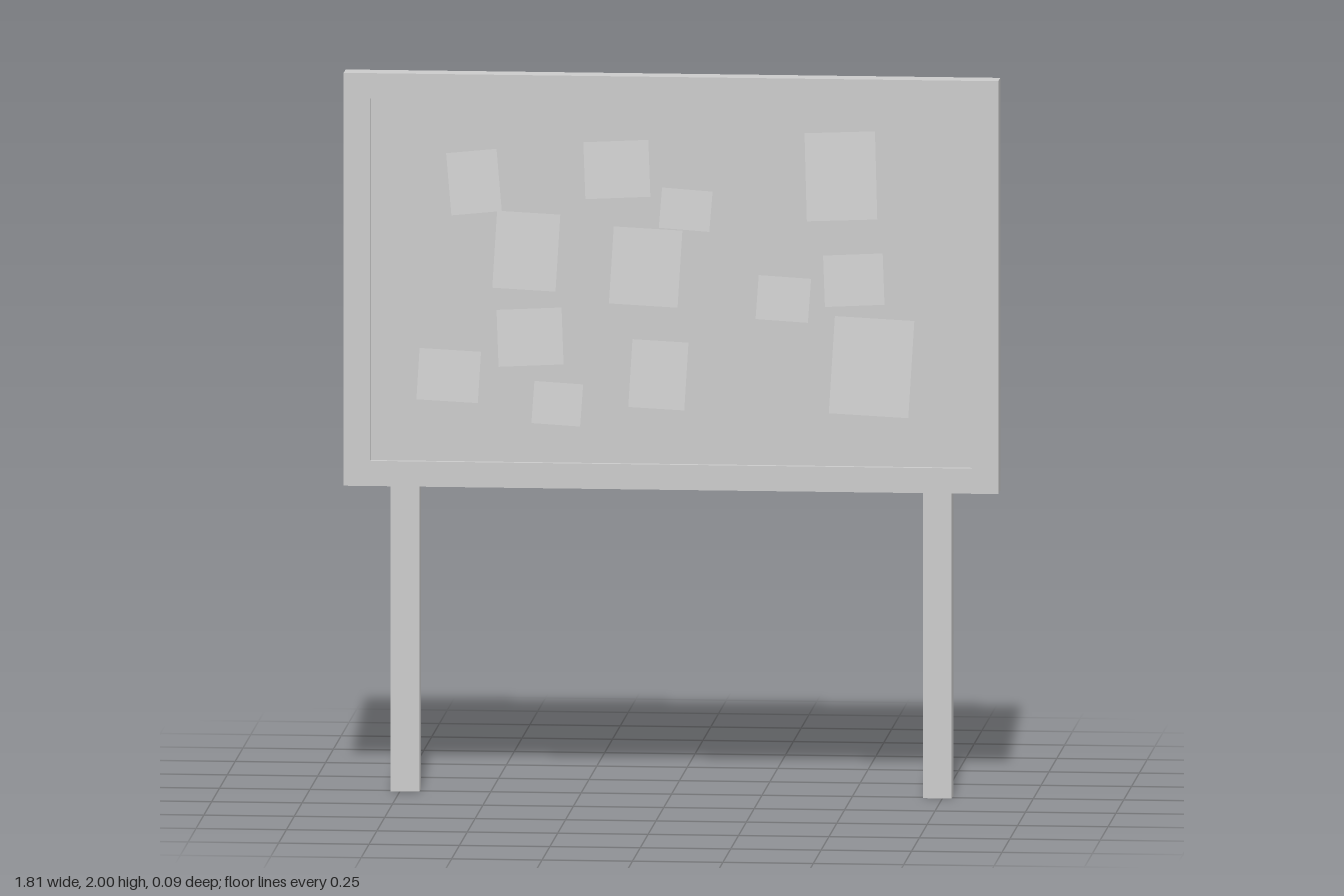
import * as THREE from 'three';

const FLOOR = 0.002; // z of the recessed board surface
const FRONT = 0.018; // z of the frame's front face
const BACK = -0.045;
const CY = 1.425, W = 1.81, H = 1.15;

export function createModel() {
  const group = new THREE.Group();
  const material = new THREE.MeshStandardMaterial({ color: 0xcccccc, flatShading: true });
  const paperMaterial = material.clone();
  paperMaterial.side = THREE.DoubleSide;

  const add = (geometry, name, x, y, z, mat = material) => {
    const mesh = new THREE.Mesh(geometry, mat);
    mesh.name = name;
    mesh.position.set(x, y, z);
    group.add(mesh);
    return mesh;
  };

  // Backing panel
  add(new THREE.BoxGeometry(W, H, FLOOR - BACK), 'boardPanel', 0, CY, (FLOOR + BACK) / 2);

  // Raised frame around the recessed surface
  const rectangle = (path, w, h) => path
    .moveTo(-w / 2, -h / 2).lineTo(w / 2, -h / 2).lineTo(w / 2, h / 2).lineTo(-w / 2, h / 2).closePath();
  const outline = new THREE.Shape();
  rectangle(outline, W, H);
  const opening = new THREE.Path();
  rectangle(opening, 1.665, 1.01);
  outline.holes.push(opening);
  add(new THREE.ExtrudeGeometry(outline, { depth: FRONT - FLOOR, bevelEnabled: false }), 'boardFrame', 0, CY, FLOOR);

  // Two square posts
  for (const side of [-1, 1]) {
    add(new THREE.BoxGeometry(0.08, 0.85, 0.056), side > 0 ? 'leftLeg' : 'rightLeg', side * 0.736, 0.425, -0.012);
  }

  // Pinned notes: centre x, centre y, width, height, turn; each hangs out from its top edge
  const notes = [
    [-0.545, 1.70, 0.14, 0.17, 0.1],
    [-0.15, 1.74, 0.18, 0.155, 0.05],
    [0.04, 1.63, 0.14, 0.11, -0.07],
    [0.47, 1.73, 0.195, 0.24, 0.04],
    [-0.40, 1.51, 0.175, 0.21, -0.05],
    [-0.07, 1.47, 0.19, 0.21, -0.05],
    [0.31, 1.385, 0.145, 0.12, -0.06],
    [0.505, 1.44, 0.165, 0.14, 0.05],
    [-0.39, 1.27, 0.18, 0.155, 0.05],
    [-0.615, 1.16, 0.17, 0.14, -0.05],
    [-0.315, 1.085, 0.135, 0.115, -0.06],
    [-0.035, 1.17, 0.155, 0.185, -0.05],
    [0.555, 1.20, 0.22, 0.265, -0.05],
  ];
  const tilt = 0.155;
  notes.forEach(([x, y, w, h, turn], i) => {
    const geometry = new THREE.PlaneGeometry(w, h / Math.cos(tilt));
    geometry.rotateX(-tilt);
    geometry.rotateZ(turn);
    const z = FLOOR + 0.001 + (h / 2) * Math.tan(tilt);
    add(geometry, `note${i + 1}`, x, y, z, paperMaterial);
  });

  return group;
}
